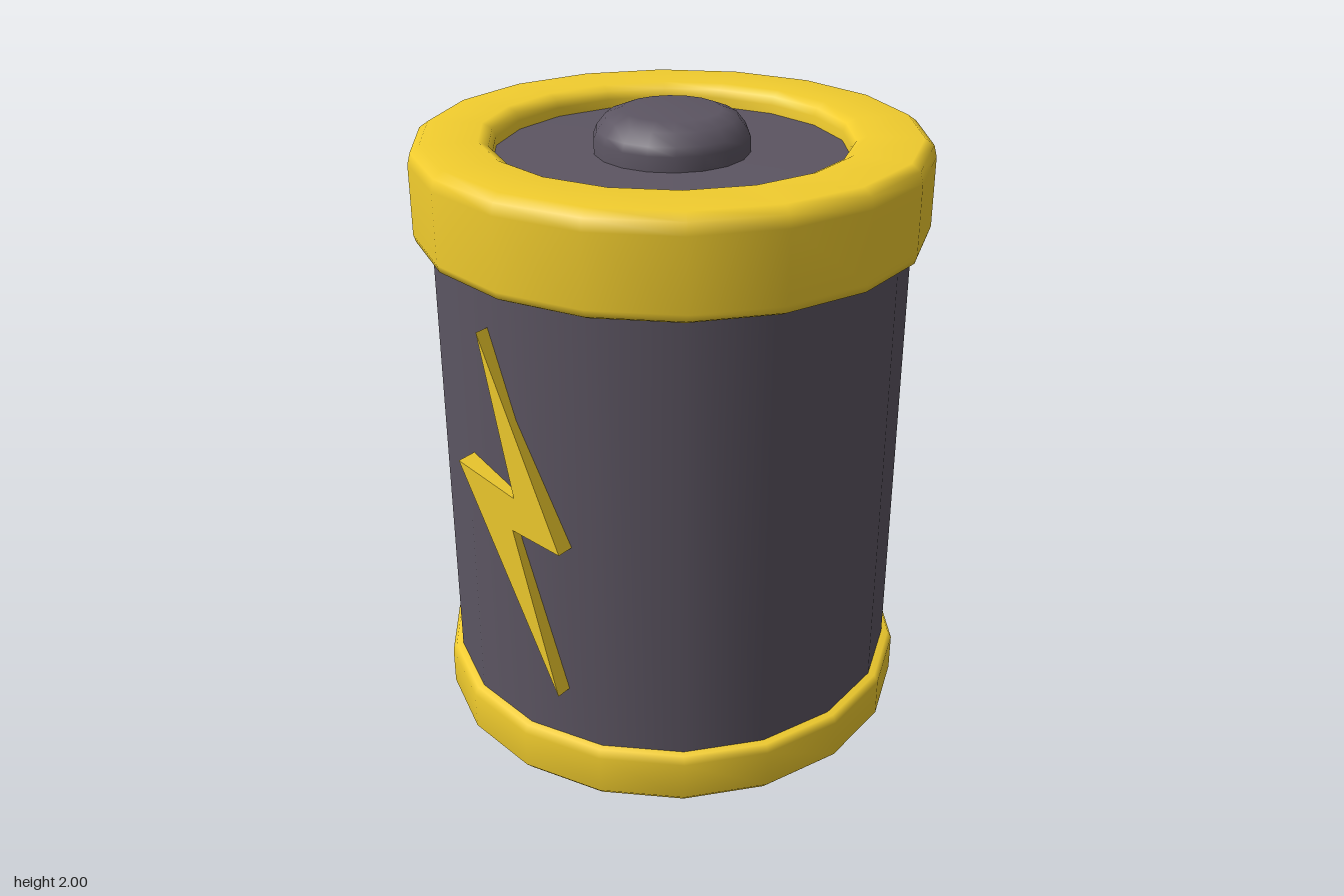
import * as THREE from 'three';

const SIDES = 18;

export function createModel() {
  const battery = new THREE.Group();
  battery.name = 'battery';
  const yellow = new THREE.MeshStandardMaterial({ color: 0xf2cd2e });
  const dark = new THREE.MeshStandardMaterial({ color: 0x5c5562 });

  const add = (name, geometry, material) => {
    const mesh = new THREE.Mesh(geometry, material);
    mesh.name = name;
    battery.add(mesh);
    return mesh;
  };
  // Profile of [radius, height] points, from the bottom up and outside in
  const lathe = (points) =>
    new THREE.LatheGeometry(points.map(([r, y]) => new THREE.Vector2(r, y)), SIDES);

  // Cylindrical casing, hidden inside the caps at both ends
  add('casing', lathe([[0.733, 0.1], [0.733, 1.75]]), dark);

  // Recessed top plate
  add('topPlate', lathe([[0.62, 1.865], [0.4, 1.87], [0.22, 1.875]]), dark);

  // Raised terminal with a rounded edge
  add('terminal', lathe([
    [0.238, 1.86], [0.238, 1.92], [0.228, 1.945], [0.2, 1.98], [0.15, 2], [0, 2],
  ]), dark);

  // Bevelled ring around the top
  add('topRing', lathe([
    [0.7, 1.63], [0.755, 1.63], [0.78, 1.643], [0.787, 1.665], [0.787, 1.88],
    [0.778, 1.915], [0.75, 1.935], [0.58, 1.935], [0.55, 1.92], [0.54, 1.895], [0.54, 1.84],
  ]), yellow);

  // Bevelled bottom cap: rim and flat base
  add('bottomRim', lathe([
    [0.705, 0], [0.745, 0.01], [0.768, 0.035], [0.768, 0.16], [0.755, 0.185], [0.7, 0.185],
  ]), yellow);
  add('base', lathe([[0, 0], [0.705, 0]]), yellow);

  // Lightning bolts, one on the front and one on the back
  const bolt = new THREE.Shape([
    [-0.112, 1.508], [0, 1.012], [-0.217, 1.067], [0.142, 0.365], [-0.012, 0.9], [0.167, 0.88],
  ].map(([x, y]) => new THREE.Vector2(x, y)));
  // Keep the left edge below the waist straight and the right tip sharp
  const boltGeometry = new THREE.ExtrudeGeometry(bolt, { depth: 0.08, bevelEnabled: false });
  add('frontBolt', boltGeometry, yellow).position.z = 0.68;
  add('backBolt', boltGeometry, yellow).position.z = -0.76;

  return battery;
}
